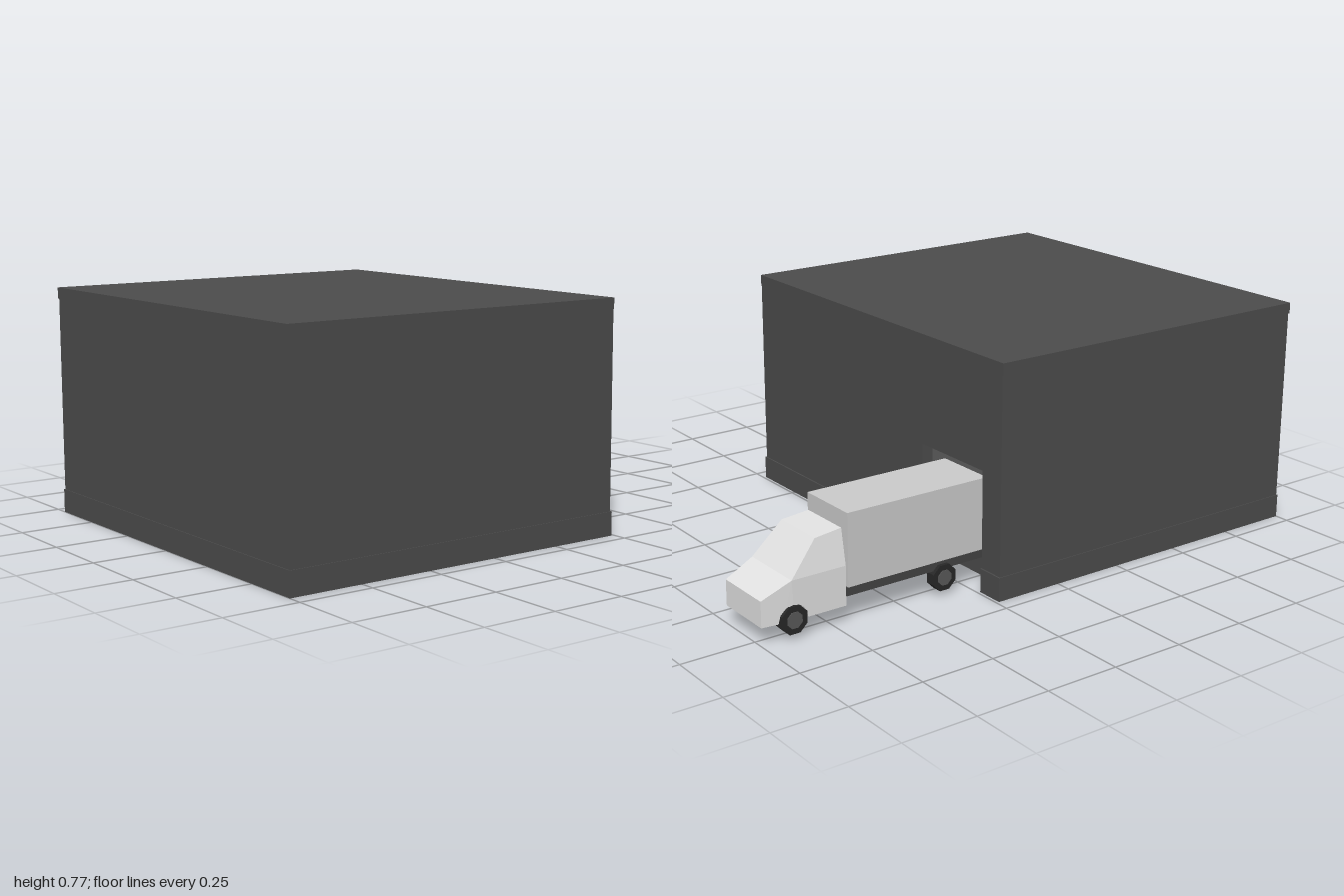
import * as THREE from 'three';

const mat = (name, color) => {
  const m = new THREE.MeshStandardMaterial({ color });
  m.name = name;
  return m;
};

export function createModel() {
  const concrete = mat('dark concrete', 0x4c4c4c);
  const cargoGrey = mat('cargo grey', 0xcccccc);
  const cabWhite = mat('cab white', 0xe2e2e2);
  const frameGrey = mat('frame grey', 0x444444);
  const rubber = mat('tyre black', 0x282828);
  const hubGrey = mat('hub grey', 0x5a5a5a);

  const model = new THREE.Group();
  const building = new THREE.Group();
  building.name = 'warehouse';
  const truck = new THREE.Group();
  truck.name = 'truck';
  truck.position.x = -0.44;
  model.add(building, truck);

  const add = (parent, name, geometry, material) => {
    const mesh = new THREE.Mesh(geometry, material);
    mesh.name = name;
    parent.add(mesh);
    return mesh;
  };
  // box given by its minimum and maximum corners
  const box = (parent, name, material, [x0, y0, z0], [x1, y1, z1]) => {
    const g = new THREE.BoxGeometry(x1 - x0, y1 - y0, z1 - z0);
    g.translate((x0 + x1) / 2, (y0 + y1) / 2, (z0 + z1) / 2);
    return add(parent, name, g, material);
  };
  const extrude = (points, depth) => new THREE.ExtrudeGeometry(
    new THREE.Shape(points.map(([x, y]) => new THREE.Vector2(x, y))),
    { depth, bevelEnabled: false });

  // floor slab, notched where the truck docks
  const doorL = -0.605, doorR = -0.288, slabTop = 0.08;
  const slab = extrude([
    [-0.7, -0.24], [doorL, -0.24], [doorL, -0.155], [doorR, -0.155],
    [doorR, -0.24], [0.7, -0.24], [0.7, 1], [-0.7, 1],
  ], slabTop);
  slab.rotateX(Math.PI / 2).translate(0, slabTop, 0);
  add(building, 'floorSlab', slab, concrete);

  // walls, the back one with the dock door
  const wallTop = 0.735;
  const back = extrude([
    [-0.697, slabTop], [doorL, slabTop], [doorL, 0.405], [doorR, 0.405],
    [doorR, slabTop], [0.697, slabTop], [0.697, wallTop], [-0.697, wallTop],
  ], 0.04);
  back.translate(0, 0, -0.235);
  add(building, 'backWall', back, concrete);
  box(building, 'frontWall', concrete, [-0.697, slabTop, 0.957], [0.697, wallTop, 0.997]);
  for (const s of [-1, 1]) {
    box(building, s > 0 ? 'leftWall' : 'rightWall', concrete,
      [s * 0.677 - 0.02, slabTop, -0.195], [s * 0.677 + 0.02, wallTop, 0.957]);
  }
  box(building, 'roof', concrete, [-0.7, wallTop, -0.235], [0.7, 0.772, 1]);

  // cargo box and chassis
  box(truck, 'cargoBox', cargoGrey, [-0.11, 0.115, -0.7], [0.11, 0.355, -0.175]);
  box(truck, 'chassis', frameGrey, [-0.105, 0.085, -0.72], [0.105, 0.115, -0.175]);

  // cab: side profiles (distance forward, height) extruded and tapered
  const taper = (points) => {
    const g = extrude(points, 2);
    g.translate(0, 0, -1).rotateY(Math.PI / 2);
    const p = g.attributes.position;
    for (let i = 0; i < p.count; i++) {
      const y = p.getY(i), z = p.getZ(i);
      let w = 0.113;
      if (y > 0.19) w -= (y - 0.19) * 0.19;
      if (z < -0.9) w -= (-0.9 - z) * 0.12;
      p.setX(i, p.getX(i) * w);
    }
    g.computeVertexNormals();
    return g;
  };
  const arch = [];
  for (let i = 0; i <= 6; i++) {
    const a = Math.PI * (1 - i / 6);
    arch.push([0.895 + 0.05 * Math.cos(a), 0.06 + 0.052 * Math.sin(a)]);
  }
  add(truck, 'cabBody', taper([
    [0.71, 0.06], ...arch, [1, 0.06], [1, 0.145], [0.9, 0.19], [0.71, 0.19],
  ]), cabWhite);
  add(truck, 'cabTop', taper([
    [0.71, 0.19], [0.9, 0.19], [0.805, 0.295], [0.71, 0.305],
  ]), cabWhite);

  // axles and eight-sided wheels
  for (const [name, z, y, r] of [['rear', -0.345, 0.06, 0.046], ['front', -0.895, 0.064, 0.048]]) {
    const cylinder = (part, radius, width, x, material, sides) => {
      const g = new THREE.CylinderGeometry(radius, radius, width, sides, 1, false, Math.PI / sides);
      g.rotateZ(Math.PI / 2).translate(x, y, z);
      const flat = g.toNonIndexed();
      flat.computeVertexNormals();
      add(truck, name + part, flat, material);
    };
    cylinder('Axle', 0.014, 0.2, 0, rubber, 8);
    for (const s of [-1, 1]) {
      cylinder('Tyre', r, 0.035, s * 0.1, rubber, 8);
      cylinder('Hub', r * 0.58, 0.004, s * 0.118, hubGrey, 8);
    }
  }
  return model;
}
